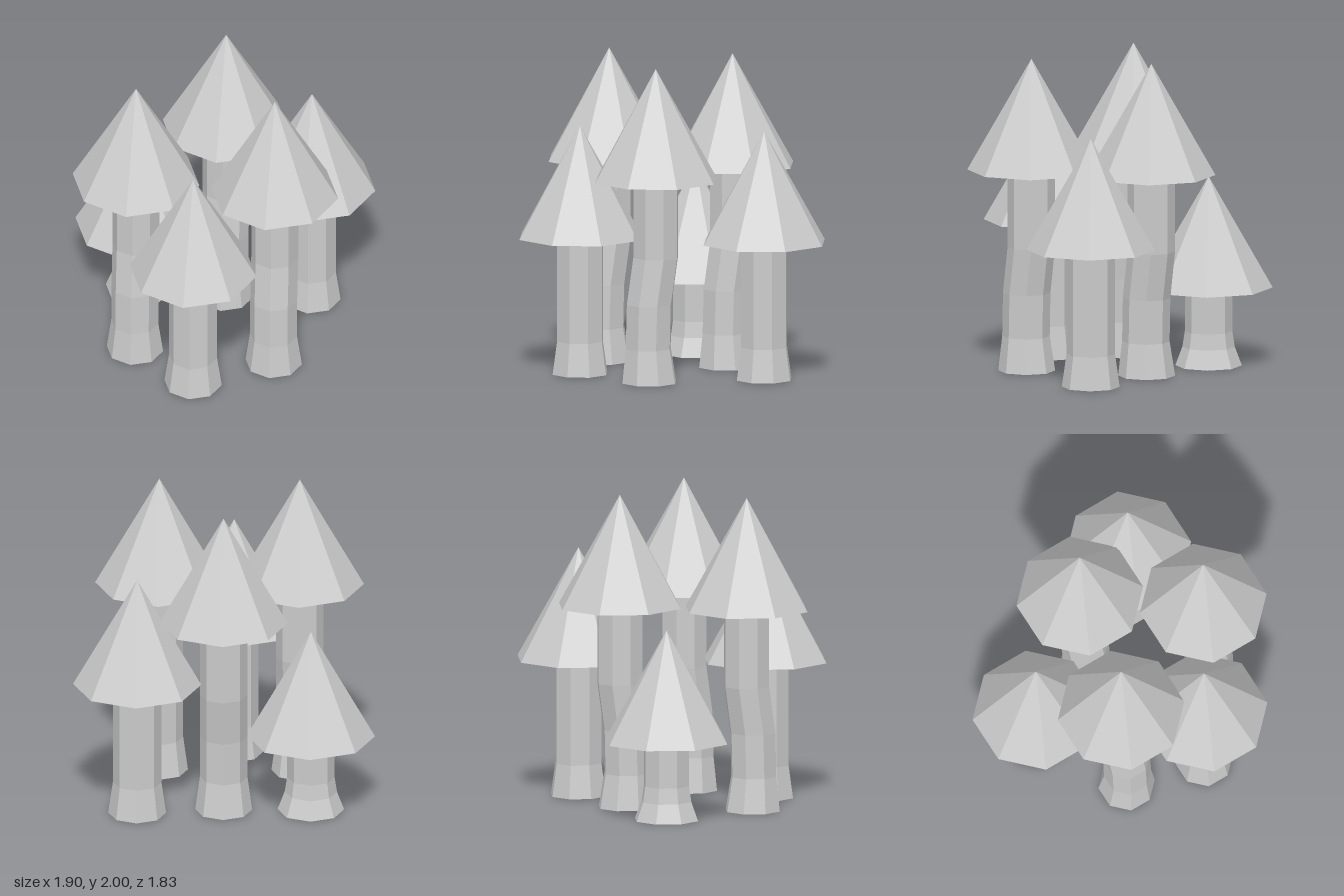
import * as THREE from 'three';

const SIDES = 8;
const CAP_RADIUS = 0.405;
const CAP_HEIGHT = 0.71;

// Stem rings: [height, radius, forward shift]
const BENT = [[0, 0.18, 0.043], [0.22, 0.15, 0.05], [0.5, 0.15, 0.043], [0.8, 0.15, 0], [1.29, 0.15, 0]];
const STRAIGHT = [[0, 0.183, 0], [0.21, 0.153, 0], [0.875, 0.153, 0]];
const SHORT = [[0, 0.21, 0], [0.12, 0.165, 0], [0.22, 0.15, 0], [0.5, 0.15, 0]];

// Mushrooms: [name, x, z, stem rings]
const MUSHROOMS = [
  ['tallRightMushroom', -0.47, 0.165, BENT],
  ['tallLeftMushroom', 0.417, 0.165, BENT],
  ['tallBackMushroom', 0, -0.495, BENT],
  ['mediumFrontMushroom', -0.05, 0.508, STRAIGHT],
  ['mediumBackMushroom', 0.545, -0.515, STRAIGHT],
  ['shortBackMushroom', -0.55, -0.44, SHORT],
];

// Open tube whose rings follow the given heights, radii and shifts
function stemGeometry(rings) {
  const n = rings.length - 1;
  const geometry = new THREE.CylinderGeometry(1, 1, 1, SIDES, n, true);
  const pos = geometry.attributes.position;
  for (let i = 0; i < pos.count; i++) {
    const [y, r, shift] = rings[Math.round((pos.getY(i) + 0.5) * n)];
    pos.setXYZ(i, pos.getX(i) * r, y, pos.getZ(i) * r + shift);
  }
  geometry.computeVertexNormals();
  return geometry;
}

export function createModel() {
  const group = new THREE.Group();
  group.name = 'mushroomCluster';
  const capMaterial = new THREE.MeshStandardMaterial({ color: 0xcccccc, flatShading: true });
  const stemMaterial = new THREE.MeshStandardMaterial({
    color: 0xcccccc, flatShading: true, side: THREE.DoubleSide,
  });
  const capGeometry = new THREE.ConeGeometry(CAP_RADIUS, CAP_HEIGHT, SIDES);

  for (const [name, x, z, rings] of MUSHROOMS) {
    const mushroom = new THREE.Group();
    mushroom.name = name;
    mushroom.position.set(x, 0, z);

    const stem = new THREE.Mesh(stemGeometry(rings), stemMaterial);
    stem.name = 'stem';

    // Pointed cap with a flat underside resting on the stem
    const cap = new THREE.Mesh(capGeometry, capMaterial);
    cap.name = 'cap';
    cap.position.y = rings[rings.length - 1][0] + CAP_HEIGHT / 2;

    mushroom.add(stem, cap);
    group.add(mushroom);
  }
  return group;
}
